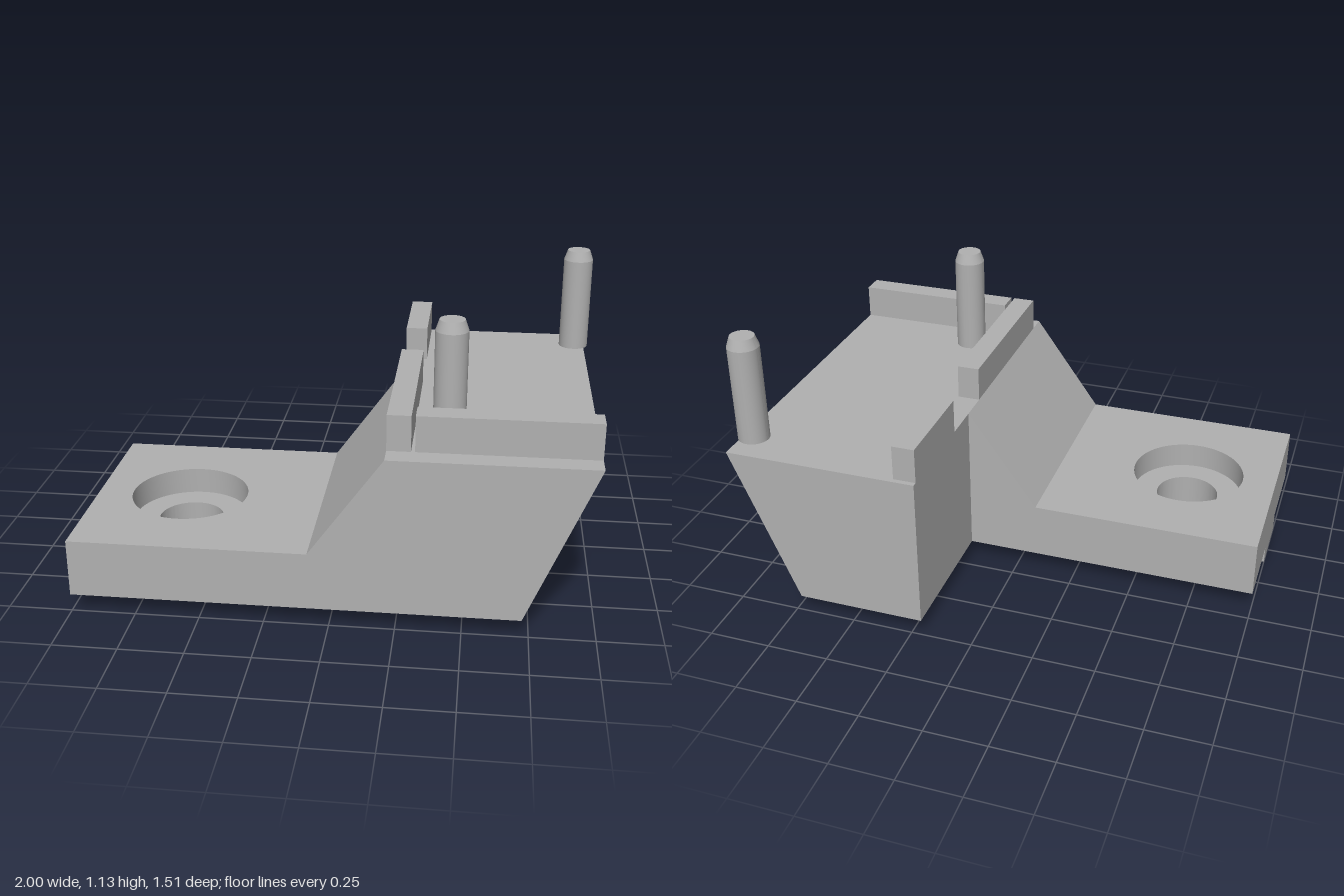
import * as THREE from 'three';
import { toCreasedNormals } from 'three/addons/utils/BufferGeometryUtils.js';

const BASE = 0.073, STEP = 0.302, DECK = 0.697, LIP = 0.837;
const FRONT = 0.757, NOTCH = -0.183;
const HOLE_X = -0.626, HOLE_Z = 0.289;

export function createModel() {
  const group = new THREE.Group();
  const grey = new THREE.MeshStandardMaterial({ color: 0xb0b0b0 });
  grey.name = 'grey';

  const add = (name, geometry) => {
    const mesh = new THREE.Mesh(geometry, grey);
    mesh.name = name;
    group.add(mesh);
    return mesh;
  };

  // Side profile (x, y) extruded from z0 to z1
  const prism = (name, points, z0, z1) => {
    const shape = new THREE.Shape(points.map(([x, y]) => new THREE.Vector2(x, y)));
    const geo = new THREE.ExtrudeGeometry(shape, { depth: z1 - z0, bevelEnabled: false });
    add(name, geo.translate(0, 0, z0));
  };

  // Rectangular slab pierced by the vertical bolt hole
  const drilledSlab = (name, x0, x1, y0, y1, z0, z1, radius) => {
    const shape = new THREE.Shape([[x0, -z1], [x1, -z1], [x1, -z0], [x0, -z0]]
      .map(([x, y]) => new THREE.Vector2(x, y)));
    const hole = new THREE.Path();
    hole.absarc(HOLE_X, -HOLE_Z, radius, 0, Math.PI * 2, true);
    shape.holes.push(hole);
    const geo = new THREE.ExtrudeGeometry(shape, { depth: y1 - y0, bevelEnabled: false, curveSegments: 48 });
    geo.rotateX(-Math.PI / 2).translate(0, y0, 0);
    add(name, toCreasedNormals(geo, 0.5));
  };

  const block = (name, x0, x1, y0, y1, z0, z1) => {
    add(name, new THREE.BoxGeometry(x1 - x0, y1 - y0, z1 - z0))
      .position.set((x0 + x1) / 2, (y0 + y1) / 2, (z0 + z1) / 2);
  };

  // Raised body with sloping ends, and the wing behind it
  prism('body', [[-0.08, BASE], [0.722, BASE], [0.982, DECK], [0.205, DECK], [-0.08, STEP]], NOTCH, FRONT);
  prism('rearWing', [[0.205, BASE], [0.722, BASE], [0.982, DECK], [0.205, DECK]], -FRONT, NOTCH);

  // Mounting foot with counterbored hole, and the key rail below
  drilledSlab('footLower', -1, -0.08, BASE, 0.195, NOTCH, FRONT, 0.131);
  drilledSlab('footUpper', -1, -0.08, 0.195, STEP, NOTCH, FRONT, 0.235);
  drilledSlab('keyRail', -1, 0.722, 0, BASE, 0.156, 0.424, 0.131);

  // Locating lips on the deck
  block('frontLip', 0.31, 0.982, DECK, LIP, 0.578, 0.67);
  block('sideLip', 0.205, 0.295, DECK, LIP, -0.057, 0.67);
  block('rearSideLip', 0.205, 0.295, DECK, LIP, -0.737, -0.34);

  // Chamfered dowel pins; the rear one overhangs the deck edge
  const barrel = [[0, 0], [0.0625, 0], [0.0625, 0.395], [0.048, 0.437], [0, 0.437]];
  const pinGeo = toCreasedNormals(
    new THREE.LatheGeometry(barrel.map(([r, y]) => new THREE.Vector2(r, y)), 40), 0.25);
  for (const [name, x, z] of [['frontPin', 0.424, 0.446], ['rearPin', 0.9375, -0.615]]) {
    add(name, pinGeo).position.set(x, DECK, z);
  }

  return group;
}
